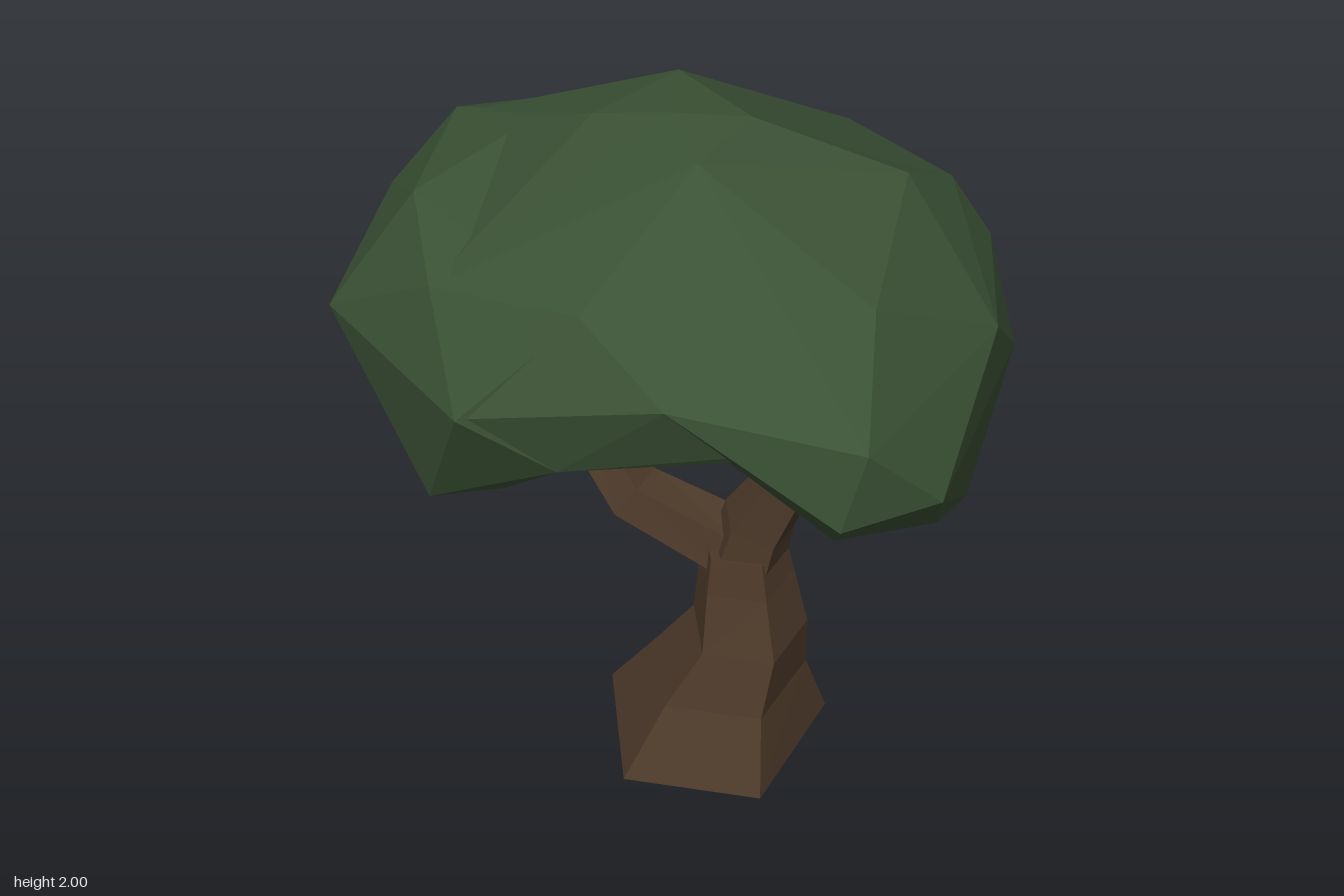
import * as THREE from 'three';
import { ConvexGeometry } from 'three/addons/geometries/ConvexGeometry.js';

const SIDES = 5;

// Five-sided limb through [x, y, z, radius, depth factor] stations; level keeps the rings horizontal
function limb(stations, level) {
  const up = new THREE.Vector3(0, 1, 0);
  const centres = stations.map(([x, y, z]) => new THREE.Vector3(x, y, z));
  const pos = [], index = [];
  stations.forEach(([, , , r, depth = 1], i) => {
    const dir = level ? up.clone() : centres[Math.min(i + 1, centres.length - 1)].clone()
      .sub(centres[Math.max(i - 1, 0)]).normalize();
    const turn = new THREE.Quaternion().setFromUnitVectors(up, dir);
    for (let j = 0; j < SIDES; j++) {
      const a = THREE.MathUtils.degToRad(56 + j * 72);
      const p = new THREE.Vector3(Math.cos(a) * r, 0, Math.sin(a) * r * depth).applyQuaternion(turn).add(centres[i]);
      pos.push(p.x, p.y, p.z);
    }
  });
  const last = (stations.length - 1) * SIDES;
  for (let i = 0; i < last; i += SIDES) {
    for (let j = 0; j < SIDES; j++) {
      const a = i + j, b = i + (j + 1) % SIDES;
      index.push(a, a + SIDES, b, b, a + SIDES, b + SIDES);
    }
  }
  // End caps
  for (let j = 1; j < SIDES - 1; j++) {
    index.push(0, j, j + 1, last, last + j + 1, last + j);
  }
  const g = new THREE.BufferGeometry();
  g.setAttribute('position', new THREE.Float32BufferAttribute(pos, 3));
  g.setIndex(index);
  const flat = g.toNonIndexed();
  flat.computeVertexNormals();
  return flat;
}

// Faceted clump of leaves spanned by its outer corners
function clump(corners) {
  return new ConvexGeometry(corners.map((c) => new THREE.Vector3(...c)));
}

export function createModel() {
  const tree = new THREE.Group();
  tree.name = 'tree';
  const bark = new THREE.MeshStandardMaterial({ color: 0x4c3929 });
  bark.name = 'bark brown';
  const leaf = new THREE.MeshStandardMaterial({ color: 0x3c5336 });
  leaf.name = 'leaf green';
  const add = (name, geometry, material) => {
    const mesh = new THREE.Mesh(geometry, material);
    mesh.name = name;
    tree.add(mesh);
  };

  // Flared trunk and the two branches of the fork
  add('trunk', limb([
    [0.145, 0, 0.222, 0.33, 1.12], [0.185, 0.2, 0.225, 0.23, 1.03], [0.245, 0.37, 0.23, 0.17, 1.04],
    [0.23, 0.54, 0.205, 0.14], [0.225, 0.65, 0.2, 0.12],
  ], true), bark);
  add('leftBranch', limb([
    [0.23, 0.58, 0.2, 0.115], [0.265, 0.73, 0.205, 0.105], [0.365, 0.94, 0.23, 0.075], [0.42, 1.04, 0.24, 0.06],
  ]), bark);
  add('rightBranch', limb([
    [0.23, 0.61, 0.19, 0.105], [-0.09, 0.715, 0.12, 0.09], [-0.255, 0.92, 0.02, 0.085],
  ]), bark);

  // Left and front side of the crown, hanging low beside the fork
  add('leftFoliage', clump([
    [0.91, 1.2, -0.08], [0.87, 1.45, 0.2], [0.82, 1.47, -0.19], [0.71, 1.66, -0.16],
    [0.61, 1.8, 0.06], [0.58, 1.68, 0.5], [0.6, 1.43, 0.76], [0.54, 1.19, 0.77],
    [0.78, 1.2, 0.62], [0.75, 0.76, 0.17], [0.82, 0.83, 0.13], [0.5, 0.92, 0.48],
    [0.29, 1.36, 0.72], [0.33, 0.94, 0.32], [0.1, 1.51, 0.77], [0.12, 1.98, 0.38],
    [0.22, 1.97, 0.13], [0.51, 1.24, -0.63], [0.57, 0.94, -0.55], [0.63, 0.97, -0.36],
    [0.15, 1.07, 0.25],
  ]), leaf);

  // Right side of the crown, the lowest clump
  add('rightFoliage', clump([
    [-0.92, 1.25, 0.11], [-0.84, 1.38, -0.31], [-0.58, 1.2, -0.69], [-0.86, 0.79, -0.14],
    [-0.7, 0.69, -0.13], [-0.53, 0.66, -0.5], [-0.3, 0.78, -0.72], [-0.63, 0.76, 0.28],
    [-0.45, 0.7, 0.14], [-0.68, 1.61, 0.06], [-0.67, 1.58, -0.41], [-0.57, 1.54, 0.38],
    [-0.46, 1.3, 0.62], [-0.2, 1.17, 0.62], [-0.37, 0.87, 0.32], [-0.2, 0.78, -0.3],
    [0.05, 0.88, -0.45], [0.1, 0.94, -0.73], [-0.04, 1.23, -0.77], [-0.3, 1.59, -0.54],
    [-0.37, 1.73, -0.2], [-0.14, 1.64, 0.6], [-0.1, 1.1, 0.2],
  ]), leaf);

  // Crown top, arching over the fork and closing the back
  add('topFoliage', clump([
    [0.03, 2, 0.19], [0.12, 1.98, 0.38], [0.22, 1.97, 0.13], [0, 1.96, -0.08], [-0.2, 1.89, 0.05],
    [-0.14, 1.65, 0.6], [0.1, 1.51, 0.77], [0.29, 1.36, 0.72], [-0.2, 1.17, 0.62],
    [-0.46, 1.3, 0.61], [-0.57, 1.53, 0.37], [-0.37, 1.73, -0.2], [-0.66, 1.57, -0.4],
    [0.6, 1.43, 0.75], [0.61, 1.79, 0.05], [0.71, 1.66, -0.16], [0.82, 1.47, -0.19],
    [0.42, 1.7, -0.33], [0.2, 1.8, -0.23], [0.3, 1.57, -0.52], [-0.3, 1.59, -0.54],
    [-0.04, 1.23, -0.77], [0.51, 1.24, -0.63], [0.57, 0.94, -0.55], [0.1, 0.94, -0.73],
    [0.08, 0.88, -0.45], [0.27, 0.88, -0.23],
  ]), leaf);

  return tree;
}
